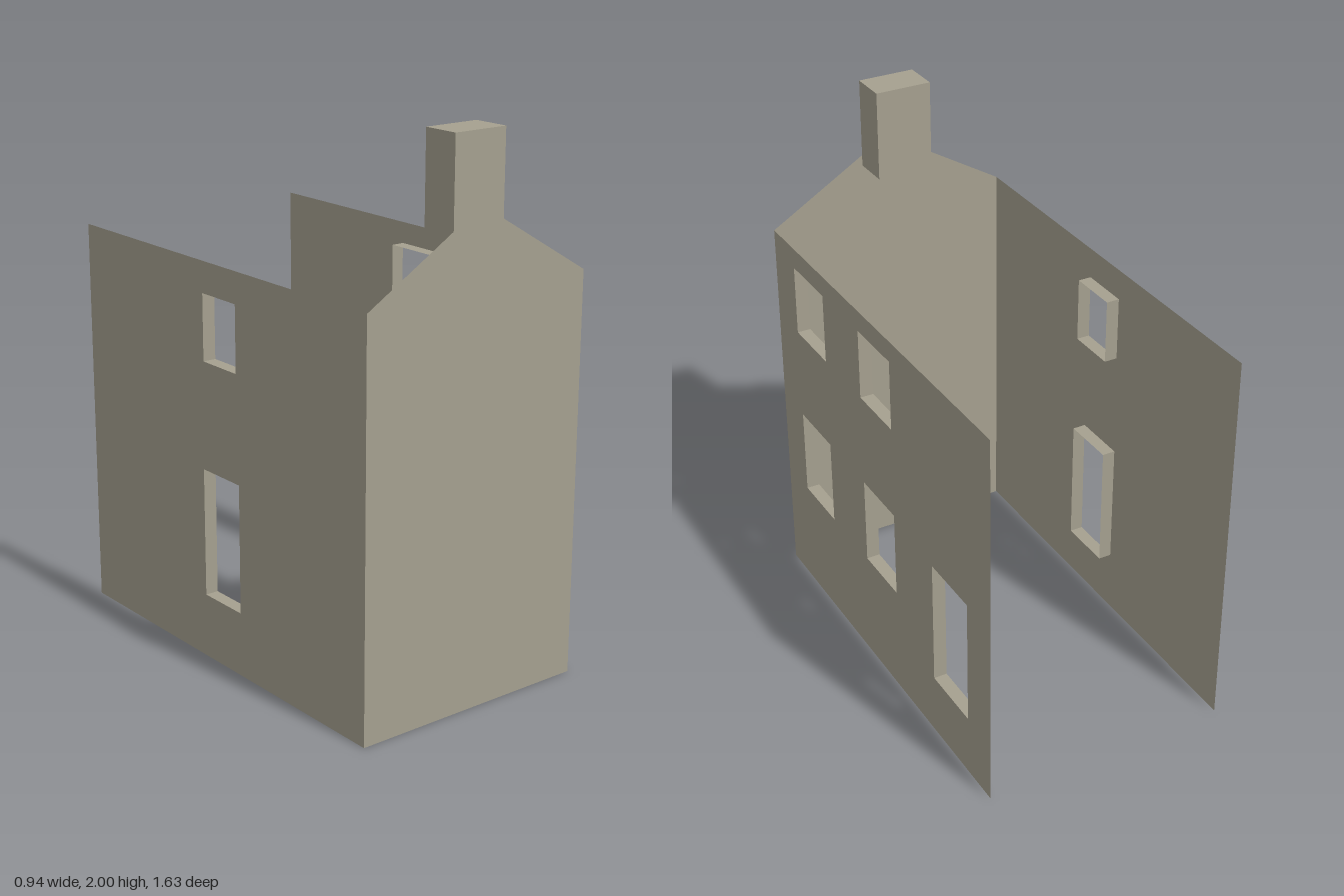
import * as THREE from 'three';

const HALF_W = 0.47, HALF_L = 0.815, EAVES = 1.48, RIDGE = 1.76, REVEAL = 0.05;

// Thin wall from an outline, with rectangular openings [u0, u1, y0, y1]
function wallGeometry(outline, openings = []) {
  const shape = new THREE.Shape(outline.map(([u, y]) => new THREE.Vector2(u, y)));
  for (const [u0, u1, y0, y1] of openings) {
    shape.holes.push(new THREE.Path([[u0, y0], [u0, y1], [u1, y1], [u1, y0]]
      .map(([u, y]) => new THREE.Vector2(u, y))));
  }
  return new THREE.ShapeGeometry(shape);
}

// Four-sided open frame running inwards from an opening
function revealGeometry([u0, u1, y0, y1]) {
  const c = [[u0, y0], [u1, y0], [u1, y1], [u0, y1]];
  const pos = [];
  for (let i = 0; i < 4; i++) {
    const a = c[i], b = c[(i + 1) % 4];
    const a0 = [...a, 0], b0 = [...b, 0], a1 = [...a, -REVEAL], b1 = [...b, -REVEAL];
    pos.push(...a0, ...a1, ...b0, ...b0, ...a1, ...b1);
  }
  const g = new THREE.BufferGeometry();
  g.setAttribute('position', new THREE.Float32BufferAttribute(pos, 3));
  g.computeVertexNormals();
  return g;
}

export function createModel() {
  const stone = new THREE.MeshStandardMaterial({ color: 0xa5a08f, side: THREE.DoubleSide });
  stone.name = 'stone';
  const house = new THREE.Group();
  house.name = 'house';

  const add = (parent, geometry, name) => {
    const mesh = new THREE.Mesh(geometry, stone);
    mesh.name = name;
    parent.add(mesh);
    return mesh;
  };

  // Gable wall at the front; the back and the roof are open
  const gable = add(house, wallGeometry([
    [-HALF_W, 0], [HALF_W, 0], [HALF_W, EAVES], [0, RIDGE], [-HALF_W, EAVES],
  ]), 'gableWall');
  gable.position.z = HALF_L;

  // Side walls: local u runs along the wall, local z points outwards
  const sideOutline = [[-HALF_L, 0], [HALF_L, 0], [HALF_L, EAVES], [-HALF_L, EAVES]];
  const addSide = (side, name, openings) => {
    const group = new THREE.Group();
    group.name = name;
    group.position.x = side * HALF_W;
    group.rotation.y = side * Math.PI / 2;
    add(group, wallGeometry(sideOutline, openings), name + 'Panel');
    openings.forEach((o, i) => add(group, revealGeometry(o), `${name}Reveal${i + 1}`));
    house.add(group);
  };

  // Four windows and a door (u = -z)
  addSide(1, 'leftWall', [
    [-0.65, -0.405, 1.13, 1.40],
    [-0.12, 0.12, 1.13, 1.40],
    [-0.65, -0.405, 0.43, 0.77],
    [-0.12, 0.12, 0.43, 0.77],
    [0.405, 0.655, 0.24, 0.735],
  ]);
  // One window above a door (u = z)
  addSide(-1, 'rightWall', [
    [-0.077, 0.115, 1.12, 1.365],
    [-0.087, 0.125, 0.24, 0.72],
  ]);

  // Chimney above the gable
  const chimney = add(house, new THREE.BoxGeometry(0.215, 0.335, 0.14), 'chimney');
  chimney.position.set(0, 1.8325, 0.732);

  return house;
}
